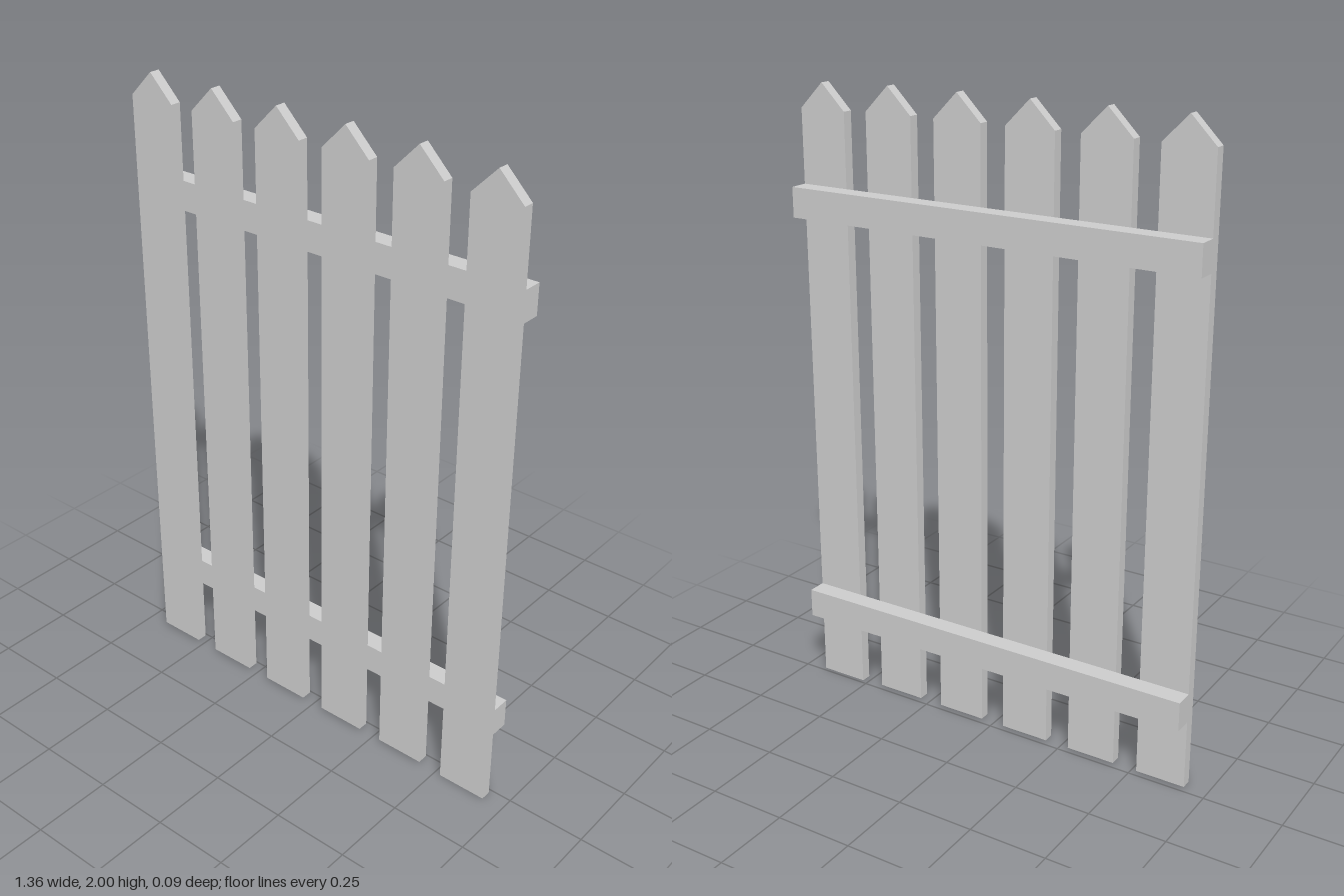
import * as THREE from 'three';

const material = new THREE.MeshStandardMaterial({ color: 0xcccccc, flatShading: true });

const HALF_W = 0.08, SHOULDER = 1.92, TOP = 2, LENGTH = 1.36;
const BACK = -0.047, JOINT = 0.013, FRONT = 0.047; // z of rail back, rail/picket contact, picket face

// Flat board with a pointed top
function picketGeometry() {
  const shape = new THREE.Shape([
    new THREE.Vector2(-HALF_W, 0.007),
    new THREE.Vector2(HALF_W, 0.007),
    new THREE.Vector2(HALF_W, SHOULDER),
    new THREE.Vector2(0, TOP),
    new THREE.Vector2(-HALF_W, SHOULDER),
  ]);
  return new THREE.ExtrudeGeometry(shape, { depth: FRONT - JOINT, bevelEnabled: false });
}

export function createModel() {
  const fence = new THREE.Group();
  fence.name = 'picketFence';

  // Six evenly spaced pickets; the last one sits slightly lower
  const board = picketGeometry();
  for (let i = 0; i < 6; i++) {
    const picket = new THREE.Mesh(board, material);
    picket.name = `picket${i + 1}`;
    picket.position.set(-0.6 + i * 0.24, i === 5 ? -0.007 : 0, JOINT);
    fence.add(picket);
  }

  // Two horizontal rails behind the pickets
  const bar = new THREE.BoxGeometry(LENGTH, 0.094, JOINT - BACK);
  for (const [name, y] of [['lowerRail', 0.278], ['upperRail', 1.636]]) {
    const rail = new THREE.Mesh(bar, material);
    rail.name = name;
    rail.position.set(0, y, (JOINT + BACK) / 2);
    fence.add(rail);
  }
  return fence;
}
